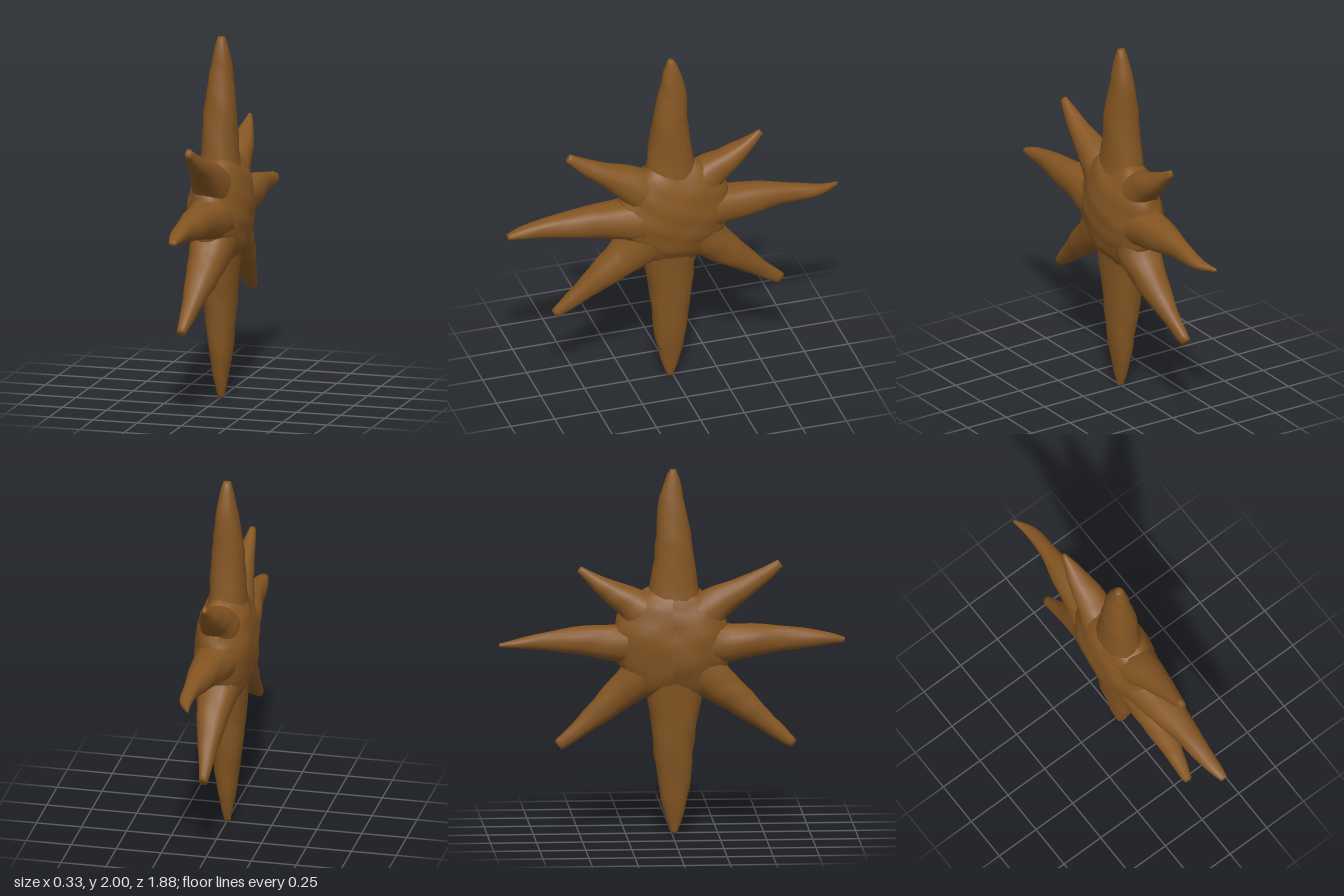
import * as THREE from 'three';

const SIDES = 16, STEPS = 18;

// gentle repeatable unevenness for the hand-moulded surface
const bump = (x, y, z) =>
  Math.sin(x * 23 + y * 17 + 1) * Math.sin(z * 19 - y * 11 + 2) * Math.cos(y * 21 + x * 9);

// smooth value of one column of the section list at t in 0..1
function sample(rows, col, t) {
  const f = t * (rows.length - 1), i = Math.min(Math.floor(f), rows.length - 2), u = f - i;
  const at = k => rows[Math.max(0, Math.min(rows.length - 1, k))][col];
  const [a, b, c, d] = [at(i - 1), at(i), at(i + 1), at(i + 2)];
  return b + 0.5 * u * (c - a + u * (2 * a - 5 * b + 4 * c - d + u * (3 * (b - c) + d - a)));
}

// tapering arm; each section is [z, y, x, half width, half thickness]
function armGeometry(rows) {
  const pos = [], idx = [], X = new THREE.Vector3(1, 0, 0);
  const centre = t => new THREE.Vector3(sample(rows, 2, t), sample(rows, 1, t), sample(rows, 0, t));
  const soft = v => Math.sign(v) * Math.abs(v) ** 0.88;
  for (let i = 0; i <= STEPS; i++) {
    const t = i / STEPS, c = centre(t);
    const dir = centre(Math.min(1, t + 0.02)).sub(centre(Math.max(0, t - 0.02)));
    dir.x = 0;
    const n = X.clone().cross(dir.normalize());
    for (let k = 0; k < SIDES; k++) {
      const a = k / SIDES * Math.PI * 2;
      const p = c.clone()
        .addScaledVector(n, soft(Math.cos(a)) * sample(rows, 3, t))
        .addScaledVector(X, soft(Math.sin(a)) * sample(rows, 4, t));
      p.lerp(c, 0.08 * bump(p.x, p.y, p.z));
      pos.push(p.x, p.y, p.z);
      if (i < STEPS) {
        const q = i * SIDES + k, r = i * SIDES + (k + 1) % SIDES;
        idx.push(q, r, q + SIDES, r, r + SIDES, q + SIDES);
      }
    }
  }
  // blunt tip
  const tip = centre(1), last = STEPS * SIDES;
  pos.push(tip.x, tip.y, tip.z);
  for (let k = 0; k < SIDES; k++) idx.push(last + k, last + (k + 1) % SIDES, last + SIDES);
  const g = new THREE.BufferGeometry();
  g.setAttribute('position', new THREE.Float32BufferAttribute(pos, 3));
  g.setIndex(idx);
  g.computeVertexNormals();
  return g;
}

export function createModel() {
  const group = new THREE.Group();
  const brown = new THREE.MeshStandardMaterial({ color: 0x845522 });
  brown.name = 'warm brown';

  // lens-shaped hub
  const hub = new THREE.SphereGeometry(1, 40, 28);
  const p = hub.attributes.position;
  for (let i = 0; i < p.count; i++) {
    const [x, y, z] = [p.getX(i) * 0.165, p.getY(i) * 0.33, p.getZ(i) * 0.32];
    const s = 1 + 0.06 * bump(x, y, z);
    p.setXYZ(i, x * s, y * s + 1.05, z * s);
  }
  hub.computeVertexNormals();
  const body = new THREE.Mesh(hub, brown);
  body.name = 'hub';
  group.add(body);

  const arm = (name, rows) => {
    const mesh = new THREE.Mesh(armGeometry(rows), brown);
    mesh.name = name;
    group.add(mesh);
  };

  // four long arms
  arm('topArm', [
    [0.01, 1.08, 0, 0.17, 0.14], [0.015, 1.35, -0.005, 0.135, 0.1], [0.01, 1.6, -0.005, 0.1, 0.087],
    [0, 1.8, 0, 0.075, 0.062], [0.005, 1.94, 0, 0.042, 0.037], [0.01, 2, 0, 0.016, 0.02]]);
  arm('bottomArm', [
    [0.01, 1.02, 0, 0.19, 0.14], [0.015, 0.74, -0.005, 0.15, 0.105], [0.013, 0.5, -0.005, 0.113, 0.087],
    [0.015, 0.25, 0, 0.084, 0.06], [0.015, 0.08, 0, 0.045, 0.033], [0.015, 0, 0, 0.016, 0.018]]);
  arm('frontArm', [
    [0.05, 1.04, 0, 0.15, 0.15], [0.3, 1.045, 0, 0.108, 0.115], [0.5, 1.06, 0, 0.082, 0.085],
    [0.7, 1.065, 0, 0.058, 0.057], [0.85, 1.06, 0, 0.034, 0.04], [0.94, 1.05, 0.005, 0.014, 0.02]]);
  arm('backArm', [
    [-0.05, 1.04, 0, 0.15, 0.15], [-0.27, 1.045, 0.01, 0.108, 0.11], [-0.48, 1.06, 0.025, 0.08, 0.08],
    [-0.68, 1.055, 0.04, 0.05, 0.045], [-0.83, 1.045, 0.04, 0.027, 0.034], [-0.935, 1.042, 0.005, 0.01, 0.008]]);

  // four short diagonal arms
  arm('upperFrontArm', [
    [0.06, 1.11, 0, 0.16, 0.14], [0.22, 1.24, 0, 0.105, 0.1], [0.34, 1.315, 0, 0.072, 0.075],
    [0.48, 1.4, -0.005, 0.047, 0.045], [0.59, 1.48, -0.01, 0.024, 0.018]]);
  arm('upperBackArm', [
    [-0.06, 1.11, 0, 0.16, 0.14], [-0.2, 1.25, 0, 0.1, 0.1], [-0.31, 1.32, 0.01, 0.068, 0.075],
    [-0.41, 1.387, 0.012, 0.04, 0.045], [-0.5, 1.457, 0.01, 0.019, 0.012]]);
  arm('lowerFrontArm', [
    [0.06, 1, 0, 0.16, 0.14], [0.24, 0.83, 0, 0.11, 0.11], [0.39, 0.71, -0.01, 0.076, 0.08],
    [0.54, 0.585, -0.02, 0.05, 0.047], [0.66, 0.49, -0.03, 0.026, 0.024]]);
  arm('lowerBackArm', [
    [-0.06, 1, 0, 0.16, 0.14], [-0.2, 0.84, 0.005, 0.11, 0.11], [-0.34, 0.72, 0.01, 0.08, 0.08],
    [-0.49, 0.59, 0, -0.05 * -1, 0.047], [-0.615, 0.49, -0.01, 0.033, 0.024]]);

  return group;
}
